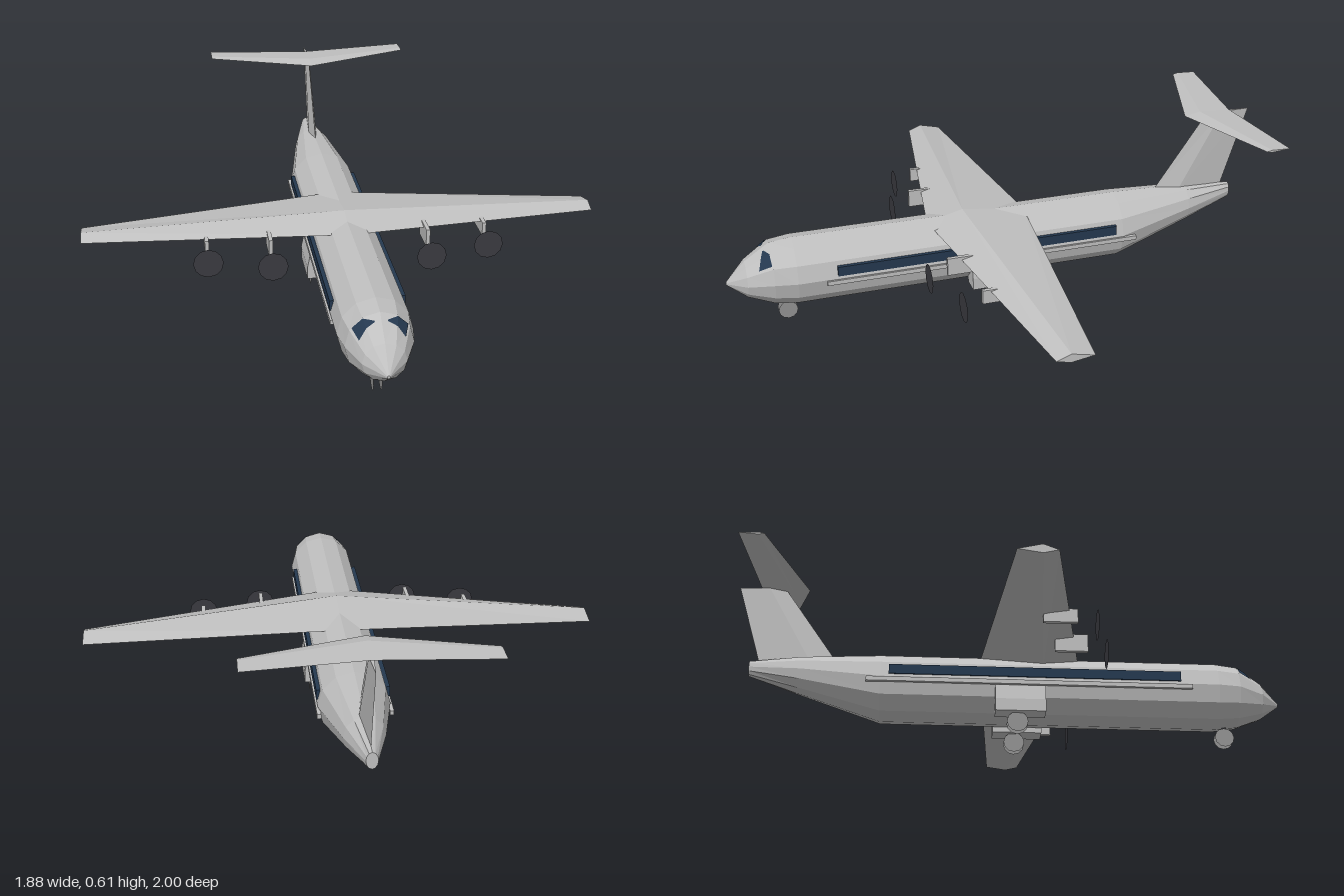
import * as THREE from 'three';

const mat = (name, color, flat = true) => {
  const m = new THREE.MeshStandardMaterial({ color, flatShading: flat, side: THREE.DoubleSide });
  m.name = name;
  return m;
};

// Closed skin through rings of [x, y, z]; rings run counter-clockwise about the loft axis
function loft(rings) {
  const pos = [];
  const tri = (a, b, c) => pos.push(...a, ...b, ...c);
  const n = rings[0].length, last = rings.length - 1;
  for (let i = 0; i < last; i++) {
    for (let j = 0; j < n; j++) {
      const k = (j + 1) % n;
      const a = rings[i][j], b = rings[i][k], c = rings[i + 1][k], d = rings[i + 1][j];
      tri(a, b, c);
      tri(a, c, d);
    }
  }
  for (let j = 1; j < n - 1; j++) {
    tri(rings[0][0], rings[0][j + 1], rings[0][j]);
    tri(rings[last][0], rings[last][j], rings[last][j + 1]);
  }
  const g = new THREE.BufferGeometry();
  g.setAttribute('position', new THREE.Float32BufferAttribute(pos, 3));
  g.computeVertexNormals();
  return g;
}

// Fuselage stations, tail to nose: z, half width, bottom, top
const STATIONS = [
  [-0.94, 0.02, 0.235, 0.295],
  [-0.75, 0.07, 0.169, 0.312],
  [-0.46, 0.125, 0.07, 0.32],
  [0.76, 0.125, 0.07, 0.32],
  [0.84, 0.112, 0.08, 0.311],
  [0.93, 0.072, 0.115, 0.25],
  [1.0, 0.005, 0.166, 0.177],
];

// Point on a station, angle in degrees from the top towards +x, on the 12-sided outline
function stationPoint([z, w, bottom, top], deg, grow = 1) {
  const at = (d) => {
    const t = THREE.MathUtils.degToRad(d);
    return [Math.sin(t) * w * grow, (top + bottom) / 2 + Math.cos(t) * ((top - bottom) / 2) * grow];
  };
  const d0 = Math.floor(deg / 30) * 30, f = (deg - d0) / 30;
  const a = at(d0), b = at(d0 + 30);
  return [a[0] + (b[0] - a[0]) * f, a[1] + (b[1] - a[1]) * f, z];
}

// Four-point aerofoil: top ridge, leading edge, underside, trailing edge
const foil = (x, zLead, zRidge, zTrail, yTop, yLead, yBottom, yTrail) => [
  [x, yTop, zRidge], [x, yLead, zLead], [x, yBottom, zRidge], [x, yTrail, zTrail],
];

// Both halves of a wing from its root and tip sizes
function wingPair(span, root, tip) {
  return loft([foil(-span, ...tip), foil(0, ...root), foil(span, ...tip)]);
}

export function createModel() {
  const model = new THREE.Group();
  model.name = 'airplane';
  const grey = mat('light grey paint', 0xbfbfbf);
  const glass = mat('navy glass', 0x24384f);
  const dark = mat('dark metal', 0x3a3a40);
  const tyre = mat('wheel grey', 0x929292);

  const add = (name, geometry, material, x = 0, y = 0, z = 0) => {
    const m = new THREE.Mesh(geometry, material);
    m.name = name;
    m.position.set(x, y, z);
    model.add(m);
    return m;
  };
  const box = (name, material, x, y, z, w, h, d) =>
    add(name, new THREE.BoxGeometry(w, h, d), material, x, y, z);

  // Fuselage
  add('fuselage', loft(STATIONS.map((s) =>
    Array.from({ length: 12 }, (_, i) => stationPoint(s, -30 * i)))), grey);

  // Wings, tailplane and fin
  add('wings', wingPair(0.94,
    [0.265, 0.13, -0.105, 0.336, 0.302, 0.28, 0.305],
    [0.1, 0.05, -0.03, 0.277, 0.258, 0.246, 0.258]), grey);
  add('tailplane', wingPair(0.4,
    [-0.74, -0.8, -0.92, 0.606, 0.594, 0.585, 0.6],
    [-0.87, -0.89, -0.96, 0.606, 0.602, 0.597, 0.603]), grey);
  const finRing = (y, lead, trail, w) => {
    const mid = lead + (trail - lead) * 0.35;
    return [[0, y, lead], [w, y, mid], [0, y, trail], [-w, y, mid]];
  };
  add('fin', loft([finRing(0.29, -0.618, -0.907, 0.016), finRing(0.597, -0.83, -1, 0.008)]), grey);

  // Cockpit window: wedge-shaped plate lying on the nose facets
  const noseAt = (z, deg) => {
    const f = (z - 0.84) / 0.09;
    const s = STATIONS[4].map((v, i) => v + (STATIONS[5][i] - v) * f);
    return stationPoint(s, deg, 1.03);
  };
  const columns = [[12, 0.862, 0.866], [30, 0.846, 0.876], [54, 0.843, 0.888]];
  const pane = (side) => {
    const pos = [];
    for (let i = 0; i < 2; i++) {
      const [l, r] = [columns[i], columns[i + 1]];
      const q = [noseAt(l[2], l[0]), noseAt(r[2], r[0]), noseAt(r[1], r[0]), noseAt(l[1], l[0])]
        .map(([x, y, z]) => [x * side, y, z]);
      if (side < 0) q.reverse();
      pos.push(...q[0], ...q[1], ...q[2], ...q[0], ...q[2], ...q[3]);
    }
    const g = new THREE.BufferGeometry();
    g.setAttribute('position', new THREE.Float32BufferAttribute(pos, 3));
    g.computeVertexNormals();
    return g;
  };

  // Wheel pair of flat discs on a strut
  const wheels = (name, x, z, r) => {
    box(name + 'Strut', dark, x, 0.062, z, 0.014, 0.04, 0.014);
    for (const dx of [-0.014, 0.014]) {
      add(name + 'Wheel', new THREE.CircleGeometry(r, 12).rotateY(Math.PI / 2), tyre, x + dx, r, z);
    }
  };
  wheels('nose', 0, 0.79, 0.035);

  // Gear fairing outline, extruded along z
  const fairing = new THREE.Shape([[0.07, 0.07], [0.136, 0.07], [0.136, 0.115], [0.124, 0.172], [0.07, 0.172]]
    .map(([x, y]) => new THREE.Vector2(x, y)));

  for (const side of [1, -1]) {
    const label = side > 0 ? 'left' : 'right';
    add(label + 'CockpitWindow', pane(side), glass);
    box(label + 'CabinWindows', glass, side * 0.119, 0.223, 0.095, 0.016, 0.036, 1.05);
    box(label + 'SideRail', grey, side * 0.124, 0.183, 0.075, 0.014, 0.016, 1.17);

    const g = new THREE.ExtrudeGeometry(fairing, { depth: 0.18, bevelEnabled: false });
    g.translate(0, 0, -0.05);
    if (side < 0) g.rotateY(Math.PI).translate(0, 0, 0.08);
    add(label + 'GearFairing', g, grey);
    wheels(label + 'Main', side * 0.1, 0.03, 0.038);

    // Engine pylons with flat propeller discs ahead of them
    for (const [x, front, top] of [[0.28, 0.265, 0.3], [0.5, 0.205, 0.285]]) {
      box(label + 'Pylon', grey, side * x, (0.235 + top) / 2, front - 0.058, 0.014, top - 0.235, 0.116);
      add(label + 'PropellerDisc', new THREE.CircleGeometry(0.053, 12), dark, side * x, 0.23, front + 0.065);
    }
  }
  return model;
}
